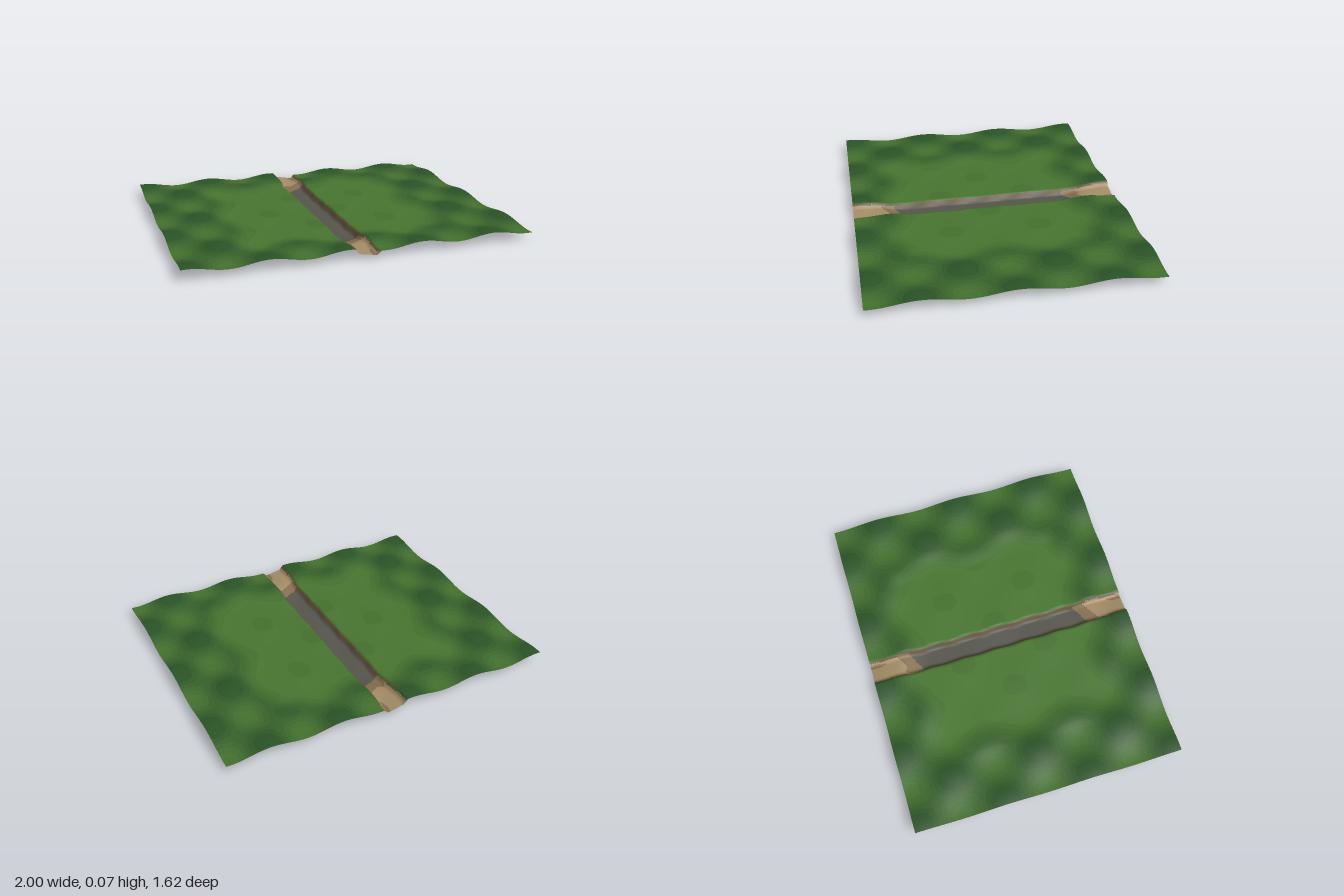
import * as THREE from 'three';

const WIDTH = 2, DEPTH = 1.62, COLS = 200, ROWS = 130;
const { smoothstep, clamp } = THREE.MathUtils;

// 1 in the flattened middle field, 0 on the rolling border
const fieldMask = (x, z) =>
  (1 - smoothstep(Math.abs(x), 0.5, 0.68)) * (1 - smoothstep(Math.abs(z), 0.46, 0.65));

// 1 on the ditch floor, 0 on the grass, with slightly uneven banks
function ditchMask(x, z) {
  const wobble = 0.003 * Math.sin(31 * z + (x > 0 ? 1 : 0));
  return 1 - smoothstep(Math.abs(x), 0.046 + wobble, 0.076 + wobble);
}

function height(x, z) {
  const field = fieldMask(x, z);
  const wave = 0.014 * Math.sin(14.6 * x) * Math.cos(12.1 * z);
  const ground = 0.053 - 0.016 * field + wave * (1 - 0.85 * field);
  return Math.max(0, ground - ditchMask(x, z) * (0.026 + 0.008 * field));
}

// Surface names and colours; the grass runs through shades from low to high ground
const SHADES = 7;
const colors = {
  ditchBed: new THREE.Color(0x56564d),
  sandyFord: new THREE.Color(0xa38d66),
  dampSand: new THREE.Color(0x876f50),
  earthBank: new THREE.Color(0x665039),
};
for (let i = 0; i < SHADES; i++) {
  colors['grassShade' + (i + 1)] =
    new THREE.Color(0x487630).lerp(new THREE.Color(0x2b5427), i / (SHADES - 1));
}

function surfaceAt(x, y, z) {
  const ditch = ditchMask(x, z);
  if (ditch > 0.12) {
    const edge = 0.53 + 0.6 * x * Math.sign(-z);
    if (Math.abs(z) < edge) return ditch > 0.75 ? 'ditchBed' : 'earthBank';
    if (ditch < 0.4) return 'earthBank';
    return Math.abs(z) < edge + 0.07 || y < 0.021 ? 'dampSand' : 'sandyFord';
  }
  const shade = clamp((y - 0.034) / 0.03, 0, 0.999);
  return 'grassShade' + (1 + Math.floor(shade * SHADES));
}

export function createModel() {
  const group = new THREE.Group();
  group.name = 'terrainWithDitch';

  // One continuous ground sheet, so the normals are smooth across all surfaces
  const ground = new THREE.PlaneGeometry(WIDTH, DEPTH, COLS, ROWS).rotateX(-Math.PI / 2);
  const pos = ground.attributes.position;
  for (let i = 0; i < pos.count; i++) pos.setY(i, height(pos.getX(i), pos.getZ(i)));
  ground.computeVertexNormals();

  // Sort the triangles by the surface they lie on
  const faces = {};
  const index = ground.index.array;
  for (let i = 0; i < index.length; i += 3) {
    const tri = [index[i], index[i + 1], index[i + 2]];
    const x = tri.reduce((sum, v) => sum + pos.getX(v), 0) / 3;
    const z = tri.reduce((sum, v) => sum + pos.getZ(v), 0) / 3;
    (faces[surfaceAt(x, height(x, z), z)] ??= []).push(...tri);
  }

  // One mesh per surface
  for (const [name, list] of Object.entries(faces)) {
    const part = ground.clone();
    part.setIndex(list);
    const material = new THREE.MeshStandardMaterial({ color: colors[name], side: THREE.DoubleSide });
    const mesh = new THREE.Mesh(part.toNonIndexed(), material);
    mesh.name = name;
    group.add(mesh);
  }
  // Rest the lowest point on the floor
  group.position.y = -new THREE.Box3().setFromObject(group).min.y;
  return group;
}
